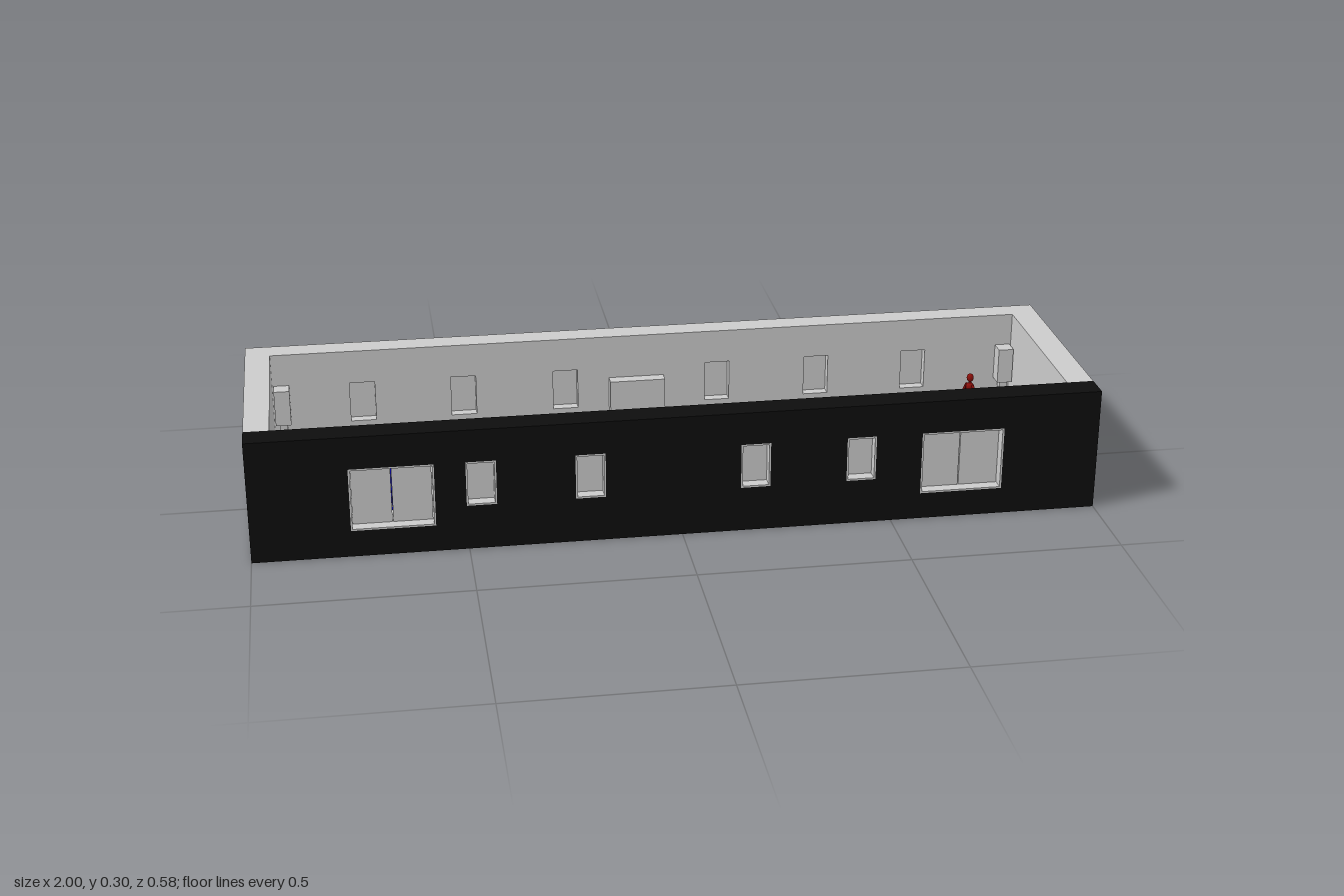
import * as THREE from 'three';

const grey = new THREE.MeshStandardMaterial({ color: 0xcccccc });
const black = new THREE.MeshStandardMaterial({ color: 0x0d0d0d });
const red = new THREE.MeshStandardMaterial({ color: 0x8a0f0a });
const blue = new THREE.MeshStandardMaterial({ color: 0x0000a0 });

// Box given by its min and max corners
function box(parent, name, [x0, y0, z0], [x1, y1, z1], material = grey) {
  const mesh = new THREE.Mesh(new THREE.BoxGeometry(x1 - x0, y1 - y0, z1 - z0), material);
  mesh.position.set((x0 + x1) / 2, (y0 + y1) / 2, (z0 + z1) / 2);
  mesh.name = name;
  parent.add(mesh);
  return mesh;
}

function rect(Type, x0, y0, x1, y1) {
  return new Type([[x0, y0], [x1, y0], [x1, y1], [x0, y1]].map(p => new THREE.Vector2(...p)));
}

// Upright slab with rectangular holes [x0, y0, x1, y1]
function slab(parent, name, outline, holes, z0, z1, material = grey) {
  const shape = rect(THREE.Shape, ...outline);
  holes.forEach(h => shape.holes.push(rect(THREE.Path, ...h)));
  const geometry = new THREE.ExtrudeGeometry(shape, { depth: z1 - z0, bevelEnabled: false });
  const mesh = new THREE.Mesh(geometry, material);
  mesh.position.z = z0;
  mesh.name = name;
  parent.add(mesh);
}

// Lined opening with one or two recessed leaves
function filling(parent, name, [x0, y0, x1, y1], z0, z1, leaves) {
  const group = new THREE.Group();
  group.name = name;
  const t = 0.004, mid = (z0 + z1) / 2, w = (x1 - x0 - 2 * t) / leaves;
  slab(group, 'lining', [x0, y0, x1, y1], [[x0 + t, y0 + t, x1 - t, y1 - t]], z0, z1);
  for (let i = 0; i < leaves; i++) {
    const left = x0 + t + i * w, gap = leaves > 1 ? 0.001 : 0;
    box(group, 'leaf', [left + gap, y0 + t, mid - 0.005], [left + w - gap, y1 - t, mid + 0.005]);
  }
  parent.add(group);
}

// Small standing figure with its arms swung apart
function person(parent, name, x, z, material) {
  const group = new THREE.Group();
  group.name = name;
  const limb = (part, from, to, r) => {
    const a = new THREE.Vector3(...from), b = new THREE.Vector3(...to);
    const mesh = new THREE.Mesh(new THREE.CapsuleGeometry(r, a.distanceTo(b), 3, 8), material);
    mesh.position.copy(a).add(b).multiplyScalar(0.5);
    mesh.quaternion.setFromUnitVectors(new THREE.Vector3(0, 1, 0), b.sub(a).normalize());
    mesh.name = part;
    group.add(mesh);
  };
  const head = new THREE.Mesh(new THREE.SphereGeometry(0.009, 12, 8), material);
  head.scale.y = 1.2;
  head.position.y = 0.119;
  head.name = 'head';
  group.add(head);
  limb('neck', [0, 0.1, 0], [0, 0.112, 0], 0.004);
  limb('torso', [0, 0.066, 0], [0, 0.096, 0], 0.01);
  for (const s of [-1, 1]) {
    limb('leg', [s * 0.006, 0.064, 0], [s * 0.009, 0.005, 0], 0.005);
    limb('foot', [s * 0.009, 0.004, 0], [s * 0.009, 0.004, 0.01], 0.004);
    limb('upperArm', [s * 0.011, 0.099, 0], [s * 0.022, 0.08, s * 0.002], 0.0035);
    limb('forearm', [s * 0.022, 0.08, s * 0.002], [s * 0.032, 0.062, s * 0.007], 0.003);
  }
  group.position.set(x, 0.06, z);
  group.rotation.y = -1.05;
  parent.add(group);
}

export function createModel() {
  const model = new THREE.Group();
  const floorY = 0.06, top = 0.3, inL = -0.94, inR = 0.935, inB = -0.23, inF = 0.225;

  // Shell
  const windowAt = x => [x, 0.11, x + 0.07, 0.22];
  const frontWindows = [-0.503, -0.25, 0.138, 0.39].map(windowAt);
  const backWindows = [-0.755, -0.505, -0.25, 0.135, 0.39, 0.643].map(windowAt);
  const doors = [[-0.77, 0.065, -0.575, 0.22], [0.57, 0.065, 0.768, 0.22]];
  slab(model, 'frontWall', [-1, 0, 1, top], [...frontWindows, ...doors], inF, 0.29, black);
  slab(model, 'backWall', [-1, 0, 1, top], backWindows, -0.29, inB);
  box(model, 'rightWall', [-1, 0, inB], [inL, top, inF]);
  box(model, 'leftWall', [inR, 0, inB], [1, top, inF]);
  box(model, 'floor', [inL, 0, inB], [inR, floorY, inF]);

  // Windows and double doors
  frontWindows.forEach(w => filling(model, 'frontWindow', w, inF, 0.29, 1));
  backWindows.forEach(w => filling(model, 'backWindow', w, -0.29, inB, 1));
  doors.forEach(d => filling(model, 'doubleDoor', d, inF, 0.29, 2));

  // Tall cabinets against the long walls
  box(model, 'backCabinet', [-0.105, floorY, inB], [0.033, 0.19, -0.2]);
  box(model, 'frontCabinet', [-0.105, floorY, 0.19], [0.033, 0.19, inF]);

  // Low counters against the end walls
  box(model, 'rightCounter', [inL, floorY, -0.075], [-0.89, 0.11, 0.082]);
  box(model, 'leftCounter', [0.88, floorY, -0.075], [inR, 0.11, 0.082]);

  // Corner speakers on stands
  for (const x of [-0.917, 0.912]) {
    for (const z of [-0.208, 0.2]) {
      const speaker = new THREE.Group();
      speaker.name = 'cornerSpeaker';
      box(speaker, 'stand', [x - 0.01, floorY, z - 0.01], [x + 0.01, 0.13, z + 0.01]);
      box(speaker, 'cabinet', [x - 0.019, 0.13, z - 0.019], [x + 0.019, 0.22, z + 0.019]);
      model.add(speaker);
    }
  }

  // Two rows of sofas, each between a pair of side tables
  for (const z of [-0.07, 0.058]) {
    for (const x of [-0.443, -0.23, 0.155, 0.367]) {
      const set = new THREE.Group();
      set.name = 'sofaSet';
      box(set, 'seat', [x - 0.065, floorY, z - 0.013], [x + 0.065, 0.085, z + 0.02]);
      box(set, 'backrest', [x - 0.065, floorY, z - 0.02], [x + 0.065, 0.11, z - 0.013]);
      for (const s of [-1, 1]) {
        const tx = x + s * 0.086;
        box(set, 'sideTable', [tx - 0.014, floorY, z - 0.014], [tx + 0.014, 0.09, z + 0.014]);
      }
      model.add(set);
    }
  }

  // Visitors
  person(model, 'redFigure', 0.8, -0.12, red);
  person(model, 'blueFigure', -0.67, 0.17, blue);
  return model;
}
